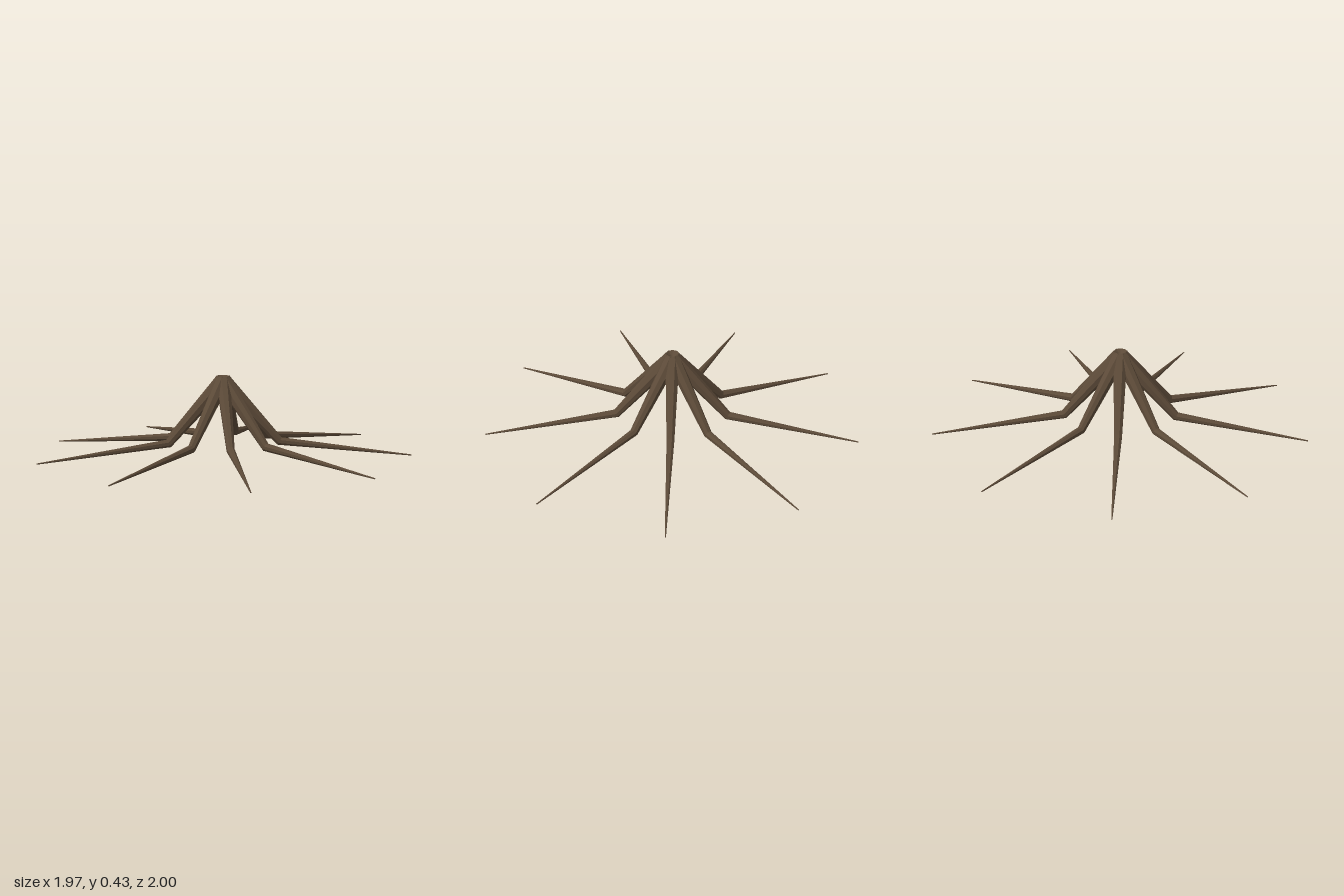
import * as THREE from 'three';

const LEGS = 9, SIDES = 8;

// Bent, tapering limb lying in the xy plane, built from mitred rings.
function limbGeometry() {
  // Each ring: centre x, centre y, radius, tilt of its outward normal from +x
  const rings = [
    { x: 0.002, y: 0.404, r: 0.04, a: 0.7 },
    { x: 0.305, y: 0.077, r: 0.022, a: 1.07 },
    { x: 1.014, y: 0.006, r: 0.003, a: 1.47 },
  ];
  const positions = [], index = [];
  for (const { x, y, r, a } of rings) {
    for (let i = 0; i < SIDES; i++) {
      const t = ((i + 0.5) / SIDES) * Math.PI * 2;
      const u = r * Math.cos(t) / Math.cos(Math.PI / SIDES);
      positions.push(x + u * Math.cos(a), y + u * Math.sin(a), r * Math.sin(t));
    }
  }
  // Side faces
  for (let k = 0; k < rings.length - 1; k++) {
    for (let i = 0; i < SIDES; i++) {
      const j = (i + 1) % SIDES, p = k * SIDES, q = p + SIDES;
      index.push(p + i, q + j, q + i, p + i, p + j, q + j);
    }
  }
  // End caps
  const last = (rings.length - 1) * SIDES;
  for (let i = 1; i < SIDES - 1; i++) {
    index.push(0, i + 1, i, last, last + i, last + i + 1);
  }
  const g = new THREE.BufferGeometry();
  g.setAttribute('position', new THREE.Float32BufferAttribute(positions, 3));
  g.setIndex(index);
  const flat = g.toNonIndexed();
  flat.computeVertexNormals();
  return flat;
}

export function createModel() {
  const model = new THREE.Group();
  model.name = 'splayedLegs';
  const wood = new THREE.MeshStandardMaterial({ color: 0x5c4a38, flatShading: true, side: THREE.DoubleSide });
  const geometry = limbGeometry();

  // Nine equal legs fanned around the hub
  for (let i = 0; i < LEGS; i++) {
    const leg = new THREE.Mesh(geometry, wood);
    leg.name = `leg${i + 1}`;
    leg.rotation.y = (i / LEGS) * Math.PI * 2;
    leg.position.x = -0.03;
    model.add(leg);
  }
  return model;
}
